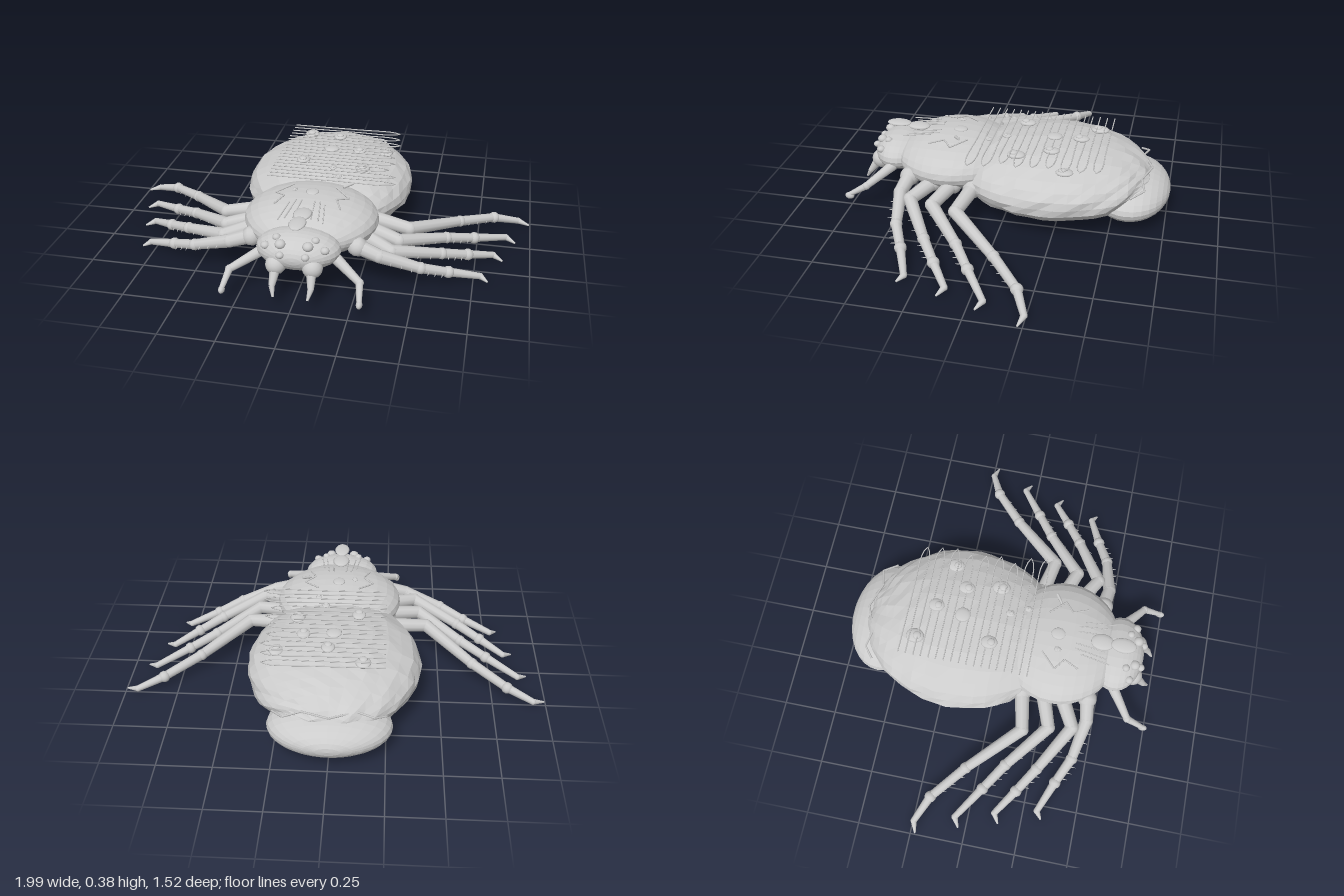
import * as THREE from 'three';

const smooth = new THREE.MeshStandardMaterial({ color: 0xcccccc });
const faceted = new THREE.MeshStandardMaterial({ color: 0xcccccc, flatShading: true });
const V = (x, y, z) => new THREE.Vector3(x, y, z);

function add(parent, name, geometry, material = smooth) {
  const mesh = new THREE.Mesh(geometry, material);
  mesh.name = name;
  parent.add(mesh);
  return mesh;
}

// Ellipsoid with its poles along z
function ellipsoid(parent, name, c, r, seg = 12, rings = 8, mat = smooth) {
  const g = new THREE.SphereGeometry(1, seg, rings).rotateX(Math.PI / 2);
  g.scale(...r);
  const m = add(parent, name, g, mat);
  m.position.set(...c);
  return m;
}

// Ellipsoid roughened by a smooth rule, so seams stay closed
function shell(parent, name, c, r, rough, seg, rings) {
  const m = ellipsoid(parent, name, c, r, seg, rings, faceted);
  const p = m.geometry.attributes.position;
  for (let i = 0; i < p.count; i++) {
    const x = p.getX(i), y = p.getY(i), z = p.getZ(i);
    const k = 1 + rough * Math.sin(x * 43 + z * 31) * Math.cos(y * 57 - z * 37);
    p.setXYZ(i, x * k, y * k, z * k);
  }
  m.geometry.computeVertexNormals();
  return m;
}

// Tapered round limb from a to b
function limb(parent, name, a, b, ra, rb, sides = 10) {
  const d = b.clone().sub(a);
  const m = add(parent, name, new THREE.CylinderGeometry(rb, ra, d.length(), sides));
  m.position.copy(a).addScaledVector(d, 0.5);
  m.quaternion.setFromUnitVectors(V(0, 1, 0), d.normalize());
  return m;
}

// Thin chain of straight strokes
function stroke(parent, name, pts, r = 0.003) {
  for (let i = 1; i < pts.length; i++) limb(parent, name, V(...pts[i - 1]), V(...pts[i]), r, r, 5);
}

// Leg joints [x, y, z] for the left side, front pair to rear pair
const LEGS = [
  [[0.24, 0.19, 0.45], [0.34, 0.16, 0.465], [0.52, 0.1, 0.43], [0.64, 0.06, 0.373], [0.78, 0.02, 0.315], [0.815, 0.007, 0.34]],
  [[0.25, 0.18, 0.33], [0.384, 0.155, 0.405], [0.6, 0.095, 0.277], [0.715, 0.058, 0.2], [0.83, 0.022, 0.12], [0.875, 0.007, 0.145]],
  [[0.25, 0.175, 0.24], [0.405, 0.15, 0.295], [0.61, 0.095, 0.128], [0.735, 0.06, 0.043], [0.885, 0.022, -0.06], [0.93, 0.007, -0.035]],
  [[0.26, 0.17, 0.14], [0.44, 0.15, 0.175], [0.66, 0.09, -0.053], [0.82, 0.055, -0.19], [0.94, 0.02, -0.245], [0.995, 0.007, -0.228]],
];
const RADII = [0.036, 0.031, 0.024, 0.021, 0.015, 0.004];

function buildLeg(parent, joints, side, index) {
  const leg = new THREE.Group();
  leg.name = (side > 0 ? 'left' : 'right') + 'Leg' + (index + 1);
  parent.add(leg);
  const p = joints.map(([x, y, z]) => V(side * x, y, z));
  for (let i = 0; i < 5; i++) {
    limb(leg, i === 4 ? 'claw' : 'legSegment', p[i], p[i + 1], RADII[i], RADII[i + 1]);
    const r = i === 0 ? 0.046 : i === 2 || i === 3 ? 0.028 : RADII[i] * 1.03;
    ellipsoid(leg, 'joint', p[i].toArray(), [r, r, r], 10, 8);
  }
  // Bristles along the two middle segments
  for (const s of [1, 2]) {
    for (const t of [0.3, 0.55, 0.8]) {
      const a = p[s].clone().lerp(p[s + 1], t);
      const along = p[s + 1].clone().sub(p[s]).normalize();
      const out = V(-side * 0.35, 0, 0.8).addScaledVector(along, 0.4).normalize();
      limb(leg, 'bristle', a, a.clone().addScaledVector(out, 0.045), 0.005, 0.001, 5);
    }
  }
}

export function createModel() {
  const root = new THREE.Group();
  root.name = 'spider';

  // Body
  shell(root, 'abdomen', [0, 0.183, -0.2], [0.405, 0.163, 0.47], 0.018, 28, 24);
  shell(root, 'rearLobe', [0, 0.122, -0.575], [0.28, 0.1, 0.187], 0, 28, 16);
  shell(root, 'carapace', [0, 0.222, 0.28], [0.308, 0.12, 0.285], 0.005, 28, 18);
  ellipsoid(root, 'head', [0, 0.217, 0.555], [0.187, 0.086, 0.125], 24, 16, faceted);

  // Raised plates along the midline
  ellipsoid(root, 'headPlate', [0, 0.343, 0.57], [0.038, 0.01, 0.06]);
  ellipsoid(root, 'neckPlate', [0, 0.336, 0.47], [0.042, 0.012, 0.055]);
  ellipsoid(root, 'carapacePit', [0, 0.341, 0.26], [0.03, 0.007, 0.034]);
  ellipsoid(root, 'abdomenDisc', [0, 0.35, -0.2], [0.037, 0.01, 0.037]);

  // Knobs on the abdomen: x, y, z, radius
  const knobs = [[-0.14, 0.335, -0.4, 0.036], [0.02, 0.362, -0.33, 0.032], [0.26, 0.308, -0.29, 0.034],
    [0.14, 0.348, -0.21, 0.032], [-0.11, 0.352, -0.05, 0.033], [0.18, 0.33, -0.05, 0.036], [0.05, 0.355, 0.02, 0.018],
    [0.09, 0.35, 0.1, 0.015], [-0.08, 0.35, 0.27, 0.014]];
  for (const [x, y, z, r] of knobs) {
    ellipsoid(root, 'knob', [x, y, z], [r, r * 0.35, r * 1.2]);
    ellipsoid(root, 'knobCap', [x, y + r * 0.3, z + r * 0.3], [r * 0.55, r * 0.25, r * 0.55]);
  }

  // Long hairpin threads across the back
  for (let i = 0; i < 9; i++) {
    const z = -0.44 + i * 0.072, w = 0.018, end = 0.31 + (i % 3) * 0.01 + (i > 6 ? 0.03 : 0);
    const pts = [V(-0.24, 0.351, z - w), V(0.1, 0.351, z - w), V(end - 0.04, 0.351, z - w), V(end, 0.351, z),
      V(end - 0.04, 0.351, z + w), V(0.1, 0.351, z + w), V(-0.24, 0.351, z + w)];
    add(root, 'backThread', new THREE.TubeGeometry(new THREE.CatmullRomCurve3(pts), 40, 0.003, 5));
  }

  // Ridge across the rear of the abdomen
  stroke(root, 'rearRidge', [[-0.25, 0.2, -0.6], [-0.2, 0.22, -0.64], [-0.12, 0.235, -0.62], [0, 0.235, -0.67],
    [0.12, 0.235, -0.63], [0.2, 0.22, -0.65], [0.25, 0.2, -0.59]], 0.005);

  // Loose splinter above the carapace
  limb(root, 'splinter', V(0.14, 0.37, 0.25), V(0.18, 0.38, 0.22), 0.007, 0.007, 6);

  // Eyes: x, y, z, radius (mirrored below)
  const eyes = [[0.06, 0.275, 0.64, 0.024], [0.085, 0.285, 0.6, 0.018], [0.055, 0.24, 0.672, 0.018], [0.13, 0.255, 0.625, 0.02]];

  for (const side of [1, -1]) {
    const tag = side > 0 ? 'left' : 'right';
    LEGS.forEach((joints, i) => buildLeg(root, joints, side, i));
    for (const [x, y, z, r] of eyes) ellipsoid(root, tag + 'Eye', [side * x, y, z], [r, r * 0.85, r]);

    // Jaw and fang
    ellipsoid(root, tag + 'Jaw', [side * 0.08, 0.178, 0.645], [0.046, 0.046, 0.046], 14, 10);
    limb(root, tag + 'Fang', V(side * 0.08, 0.155, 0.67), V(side * 0.085, 0.105, 0.705), 0.022, 0.014);
    limb(root, tag + 'FangTip', V(side * 0.085, 0.107, 0.704), V(side * 0.075, 0.065, 0.73), 0.014, 0.005);

    // Feeler
    limb(root, tag + 'FeelerBase', V(side * 0.16, 0.19, 0.56), V(side * 0.285, 0.135, 0.655), 0.026, 0.017);
    ellipsoid(root, tag + 'FeelerElbow', [side * 0.285, 0.135, 0.655], [0.019, 0.019, 0.019]);
    limb(root, tag + 'FeelerEnd', V(side * 0.285, 0.135, 0.655), V(side * 0.298, 0.085, 0.74), 0.017, 0.011);
    ellipsoid(root, tag + 'FeelerTip', [side * 0.298, 0.08, 0.738], [0.014, 0.018, 0.022]);

    // Carapace creases
    for (const [x0, z0, x1, z1] of [[0.03, 0.35, 0.04, 0.49], [0.055, 0.35, 0.075, 0.5], [0.08, 0.38, 0.1, 0.52]])
      stroke(root, tag + 'Crease', [[side * x0, 0.341, z0], [side * x1, 0.325, z1]]);
    stroke(root, tag + 'Zigzag', [[side * 0.1, 0.34, 0.2], [side * 0.17, 0.327, 0.27], [side * 0.12, 0.337, 0.31],
      [side * 0.15, 0.326, 0.38]], 0.004);

    // Breathing plates underneath
    ellipsoid(root, tag + 'BellyPlate', [side * 0.14, 0.033, -0.08], [0.04, 0.008, 0.03]);
  }
  ellipsoid(root, 'spinneret', [0, 0.026, -0.6], [0.03, 0.008, 0.025]);
  return root;
}
